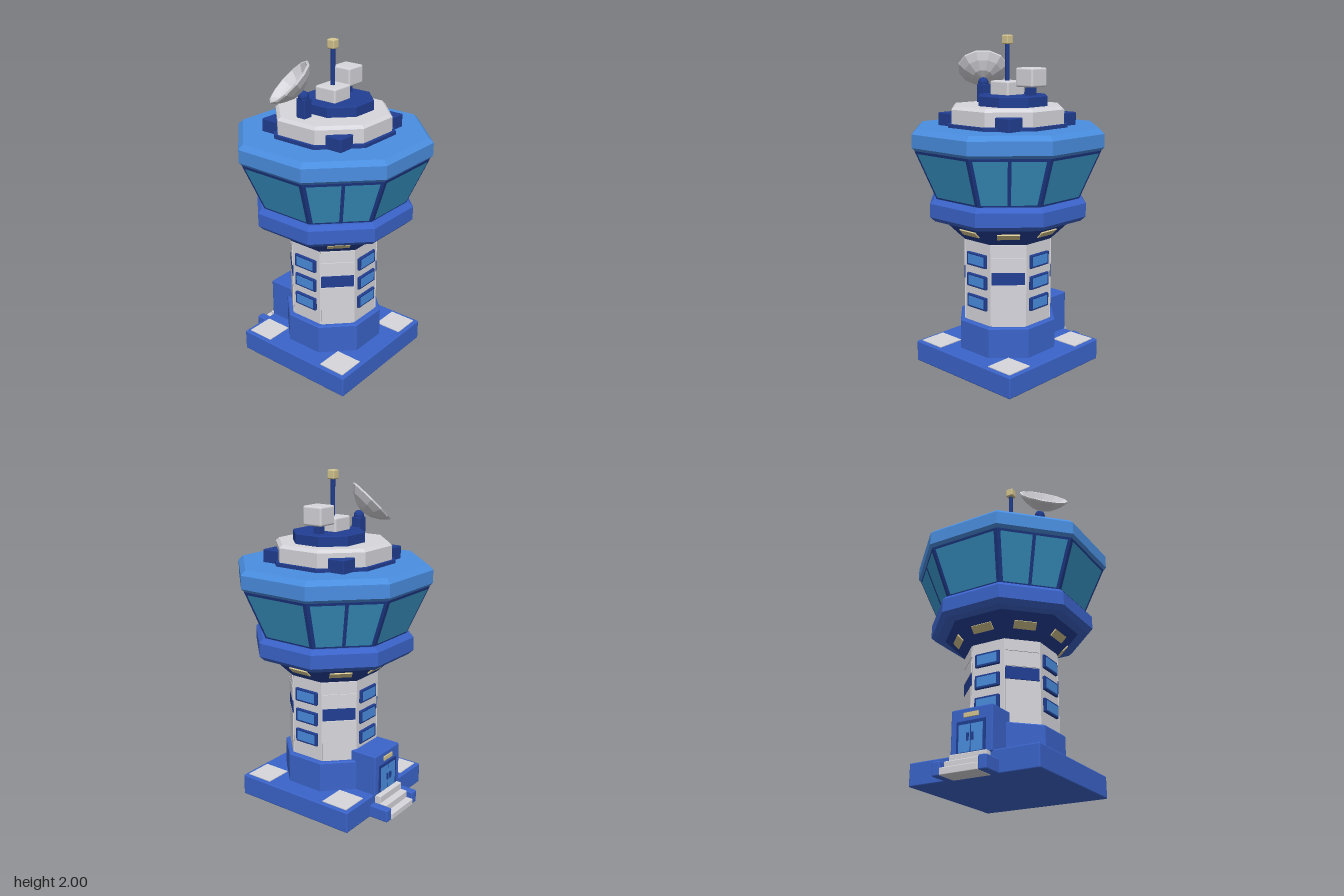
import * as THREE from 'three';
import { RoundedBoxGeometry } from 'three/addons/geometries/RoundedBoxGeometry.js';

const mat = (name, color) => Object.assign(new THREE.MeshStandardMaterial({ color }), { name });

export function createModel() {
  const M = {
    blue: mat('body blue', 0x3b64ca),
    sky: mat('light blue', 0x4a8ee0),
    navy: mat('navy', 0x213e92),
    grey: mat('light grey', 0xd6d6dc),
    glass: mat('glass', 0x3c9cd0),
    gold: mat('sand', 0xd6c690),
  };
  const model = new THREE.Group();
  model.name = 'controlTower';

  const add = (parent, name, geo, material, x = 0, y = 0, z = 0) => {
    const m = new THREE.Mesh(geo, material);
    m.name = name;
    m.position.set(x, y, z);
    parent.add(m);
    return m;
  };
  const group = (name, rotY = 0) => {
    const g = new THREE.Group();
    g.name = name;
    g.rotation.y = rotY;
    model.add(g);
    return g;
  };
  // Faceted lathe; profile runs from bottom to top
  const facet = (pts, sides, phi = 0) => {
    const g = new THREE.LatheGeometry(pts.map(p => new THREE.Vector2(p[0], p[1])), sides, phi).toNonIndexed();
    g.computeVertexNormals();
    return g;
  };
  // Octagon with flat faces on the axes; profile gives [apothem, y]
  const K = Math.cos(Math.PI / 8);
  const octagon = (name, material, pts, x = 0) => {
    const closed = [[0, pts[0][1]], ...pts, [0, pts[pts.length - 1][1]]];
    return add(model, name, facet(closed.map(([a, y]) => [a / K, y]), 8, Math.PI / 8), material, x);
  };
  // Box given by its extents, with optional rounded edges
  const box = (parent, name, material, [x0, x1], [y0, y1], [z0, z1], r = 0) => {
    const s = [x1 - x0, y1 - y0, z1 - z0];
    const geo = r ? new RoundedBoxGeometry(...s, 2, r) : new THREE.BoxGeometry(...s);
    return add(parent, name, geo, material, (x0 + x1) / 2, (y0 + y1) / 2, (z0 + z1) / 2);
  };

  // Base slab with corner pads
  box(model, 'baseSlab', M.blue, [-0.4, 0.4], [0, 0.13], [-0.4, 0.4], 0.008);
  for (const sx of [-1, 1]) for (const sz of [-1, 1])
    add(model, 'cornerPad', new THREE.BoxGeometry(0.17, 0.008, 0.17), M.grey, sx * 0.29, 0.131, sz * 0.29);

  // Stacked octagonal body
  octagon('plinth', M.blue, [[0.285, 0.12], [0.285, 0.308], [0.278, 0.315]]);
  octagon('shaft', M.grey, [[0.253, 0.3], [0.253, 0.83]]);
  octagon('flare', M.navy, [[0.25, 0.81], [0.28, 0.84], [0.375, 0.94]]);
  octagon('collar', M.blue, [[0.37, 0.935], [0.425, 0.938], [0.452, 0.965], [0.452, 1.045], [0.43, 1.07]]);
  octagon('cabinFrame', M.navy, [[0.41, 1.06], [0.53, 1.357]]);
  octagon('roof', M.sky, [[0.525, 1.355], [0.545, 1.375], [0.545, 1.452], [0.518, 1.48]]);
  octagon('roofTrim', M.navy, [[0.343, 1.47], [0.343, 1.5]]);
  octagon('upperDeck', M.grey, [[0.323, 1.5], [0.323, 1.582], [0.305, 1.6]]);
  octagon('topDeck', M.navy, [[0.198, 1.59], [0.198, 1.655], [0.192, 1.66]], 0.043);

  // Sloped window pane following the cabin wall
  const slope = y => 0.41 + (y - 1.06) * (0.12 / 0.297) + 0.004;
  const pane = (b0, b1, t0, t1) => {
    const y0 = 1.082, y1 = 1.342, g = new THREE.BufferGeometry();
    g.setAttribute('position', new THREE.Float32BufferAttribute([
      b0, y0, slope(y0), b1, y0, slope(y0), t1, y1, slope(y1), t0, y1, slope(y1)], 3));
    g.setIndex([0, 1, 2, 0, 2, 3]);
    g.computeVertexNormals();
    return g;
  };

  // Details on each of the eight sides
  for (let i = 0; i < 8; i++) {
    const side = group('side' + i, i * Math.PI / 4);
    const light = add(side, 'flareLight', new THREE.BoxGeometry(0.13, 0.048, 0.012), M.gold, 0, 0.877, 0.317);
    light.rotation.x = Math.PI / 4;
    if (i % 2 === 0) {
      add(side, 'cabinWindow', pane(-0.155, 0.155, -0.198, 0.198), M.glass);
      for (const y of [0.445, 0.575, 0.705]) {
        box(side, 'windowFrame', M.navy, [-0.08, 0.08], [y - 0.041, y + 0.041], [0.25, 0.268], 0.006);
        box(side, 'windowPane', M.sky, [-0.063, 0.063], [y - 0.028, y + 0.028], [0.265, 0.271]);
      }
    } else {
      add(side, 'cabinWindowLeft', pane(0.01, 0.155, 0.01, 0.198), M.glass);
      add(side, 'cabinWindowRight', pane(-0.155, -0.01, -0.198, -0.01), M.glass);
      // Shaft cladding with a dark band
      for (const [y0, y1, m] of [[0.315, 0.568, M.grey], [0.572, 0.645, M.navy], [0.65, 0.735, M.grey], [0.742, 0.81, M.grey]])
        box(side, 'shaftPanel', m, [-0.098, 0.098], [y0, y1], [0.25, 0.259]);
    }
  }

  // Entrance at the back, built facing +z and turned round
  const door = group('entrance', Math.PI);
  box(door, 'porch', M.blue, [-0.13, 0.13], [0.12, 0.378], [0.22, 0.408], 0.008);
  box(door, 'doorFrame', M.navy, [-0.09, 0.09], [0.13, 0.305], [0.4, 0.413]);
  box(door, 'doorLight', M.gold, [-0.045, 0.045], [0.325, 0.35], [0.4, 0.416]);
  for (const s of [-1, 1]) {
    add(door, 'doorLeaf', new THREE.BoxGeometry(0.07, 0.15, 0.008), M.sky, s * 0.039, 0.21, 0.413);
    add(door, 'doorHandle', new THREE.BoxGeometry(0.012, 0.04, 0.012), M.navy, s * 0.015, 0.215, 0.419);
    add(door, 'stepCheek', new RoundedBoxGeometry(0.05, 0.078, 0.13, 2, 0.008), M.blue, s * 0.14, 0.039, 0.455);
  }
  [[0.125, 0.44], [0.082, 0.483], [0.04, 0.525]].forEach(([h, z]) =>
    box(door, 'step', M.grey, [-0.115, 0.115], [0, h], [0.39, z], 0.005));

  // Roof vents on the diagonals
  for (const sx of [-1, 1]) for (const sz of [-1, 1])
    add(model, 'roofVent', new RoundedBoxGeometry(0.11, 0.085, 0.11, 2, 0.006), M.navy, sx * 0.233, 1.513, sz * 0.233);

  // Mast and equipment box
  box(model, 'mastBase', M.grey, [-0.073, 0.073], [1.65, 1.74], [-0.073, 0.073], 0.012);
  add(model, 'mast', new THREE.CylinderGeometry(0.013, 0.013, 0.22, 8), M.navy, 0, 1.845, 0);
  box(model, 'mastLight', M.gold, [-0.025, 0.025], [1.947, 2], [-0.025, 0.025], 0.008);
  box(model, 'boxPost', M.navy, [0.14, 0.185], [1.65, 1.72], [-0.047, -0.002]);
  box(model, 'equipmentBox', M.grey, [0.1, 0.23], [1.708, 1.818], [-0.09, 0.04], 0.012);

  // Dish tilted up towards the back right corner
  box(model, 'dishPost', M.navy, [-0.253, -0.19], [1.59, 1.71], [-0.055, 0.005], 0.005);
  add(model, 'dishJoint', new THREE.SphereGeometry(0.032, 10, 8), M.navy, -0.225, 1.718, -0.025);
  const bowl = [[0, -0.085], [0.06, -0.072], [0.115, -0.04], [0.153, -0.004], [0.153, 0.006],
    [0.142, 0.006], [0.107, -0.028], [0.056, -0.058], [0, -0.07]];
  const dish = add(model, 'dish', facet(bowl, 12), M.grey, -0.28, 1.8, -0.077);
  dish.quaternion.setFromUnitVectors(new THREE.Vector3(0, 1, 0), new THREE.Vector3(-0.5, Math.SQRT1_2, -0.5));

  return model;
}
